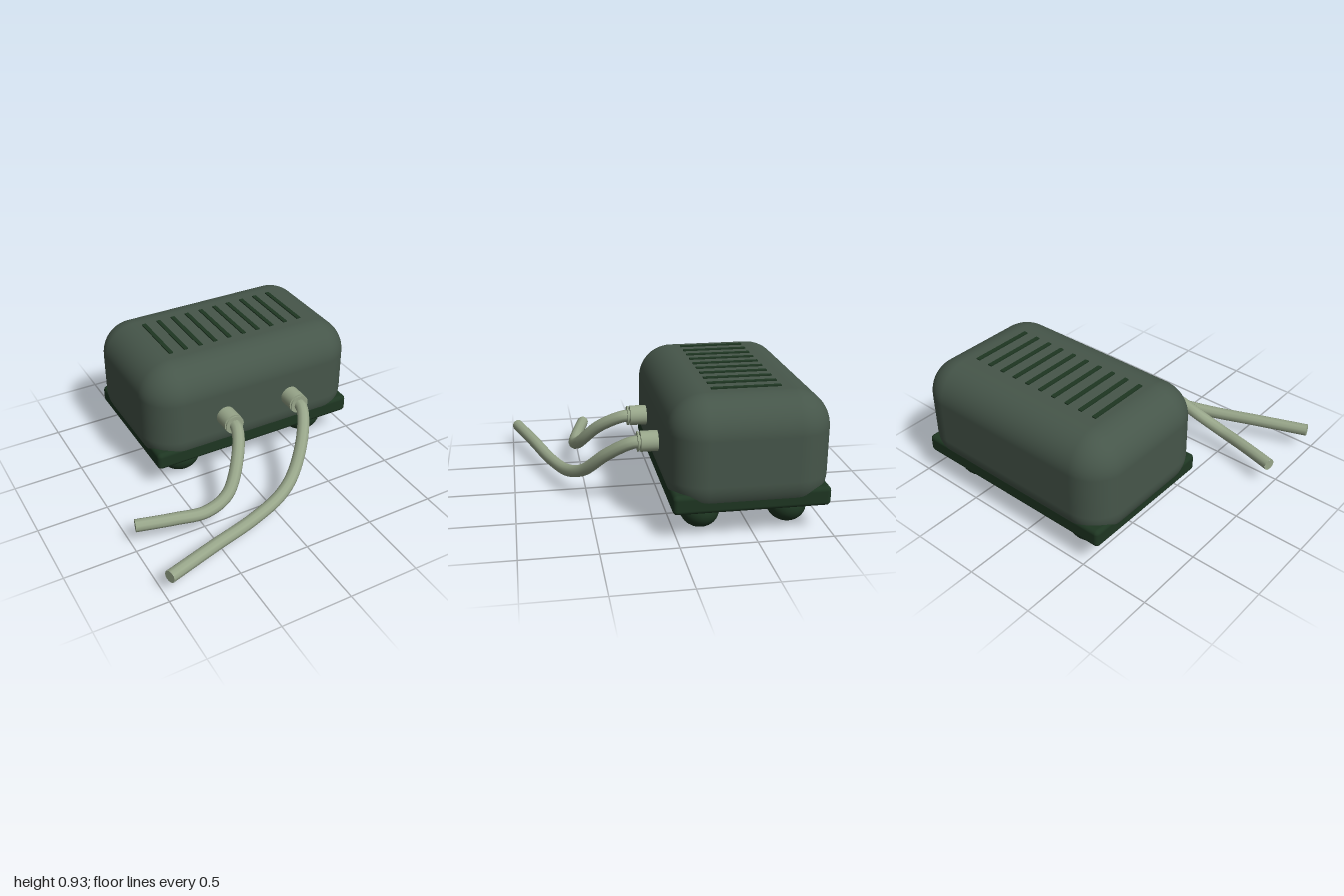
import * as THREE from 'three';
import { RoundedBoxGeometry } from 'three/addons/geometries/RoundedBoxGeometry.js';

const CX = 0.17, CZ = -0.475; // centre of the housing

export function createModel() {
  const model = new THREE.Group();
  const shell = new THREE.MeshStandardMaterial({ color: 0x46564a });
  const darkGreen = new THREE.MeshStandardMaterial({ color: 0x1e3622 });
  const paleGreen = new THREE.MeshStandardMaterial({ color: 0x98a68a });
  shell.name = 'shell grey green';
  darkGreen.name = 'dark green';
  paleGreen.name = 'pale hose green';

  const add = (name, geometry, material, x = 0, y = 0, z = 0) => {
    const mesh = new THREE.Mesh(geometry, material);
    mesh.name = name;
    mesh.position.set(x, y, z);
    model.add(mesh);
    return mesh;
  };

  // Rounded housing, bulging slightly past the base plate
  add('housing', new RoundedBoxGeometry(1.62, 0.78, 1.05, 8, 0.24), shell, CX, 0.53, CZ);
  add('basePlate', new RoundedBoxGeometry(1.56, 0.13, 1.02, 3, 0.03), darkGreen, CX, 0.255, CZ);

  // Four squashed ball feet
  const footGeometry = new THREE.SphereGeometry(1, 24, 16);
  for (const sx of [-1, 1]) {
    for (const sz of [-1, 1]) {
      const foot = add('foot', footGeometry, darkGreen, CX + sx * 0.52, 0.112, CZ + sz * 0.292);
      foot.scale.set(0.145, 0.112, 0.13);
    }
  }

  // Row of vent slats on the top
  const slatGeometry = new THREE.BoxGeometry(0.03, 0.018, 0.455);
  for (let i = 0; i < 10; i++) {
    add('ventSlat', slatGeometry, darkGreen, -0.352 + i * 0.114, 0.919, CZ);
  }

  // Outlet nozzle with a thin collar ring
  const addOutlet = (x) => {
    const y = 0.502;
    const nozzle = add('nozzle', new THREE.CylinderGeometry(0.07, 0.07, 0.165, 24), paleGreen, x, y, 0.083);
    const collar = add('collar', new THREE.CylinderGeometry(0.068, 0.068, 0.01, 24), paleGreen, x, y, 0.181);
    nozzle.rotation.x = collar.rotation.x = Math.PI / 2;
  };

  // Curved hose with closed ends
  const addHose = (points) => {
    const path = new THREE.CatmullRomCurve3(points.map((p) => new THREE.Vector3(...p)));
    add('hose', new THREE.TubeGeometry(path, 48, 0.043, 10), paleGreen);
    for (const [t, sign] of [[0, -1], [1, 1]]) {
      const p = path.getPointAt(t);
      const cap = add('hoseEnd', new THREE.CircleGeometry(0.043, 10), paleGreen, p.x, p.y, p.z);
      cap.lookAt(p.clone().addScaledVector(path.getTangentAt(t), sign));
    }
  };

  addOutlet(-0.092);
  addOutlet(0.43);
  addHose([
    [-0.092, 0.502, 0.14], [-0.095, 0.495, 0.22], [-0.18, 0.4, 0.38], [-0.33, 0.23, 0.515],
    [-0.5, 0.165, 0.54], [-0.72, 0.16, 0.498], [-0.97, 0.16, 0.435],
  ]);
  addHose([
    [0.43, 0.502, 0.14], [0.428, 0.495, 0.22], [0.34, 0.39, 0.375], [0.18, 0.22, 0.525],
    [0.02, 0.155, 0.62], [-0.25, 0.132, 0.722], [-0.6, 0.147, 0.835], [-0.97, 0.16, 0.957],
  ]);

  return model;
}
